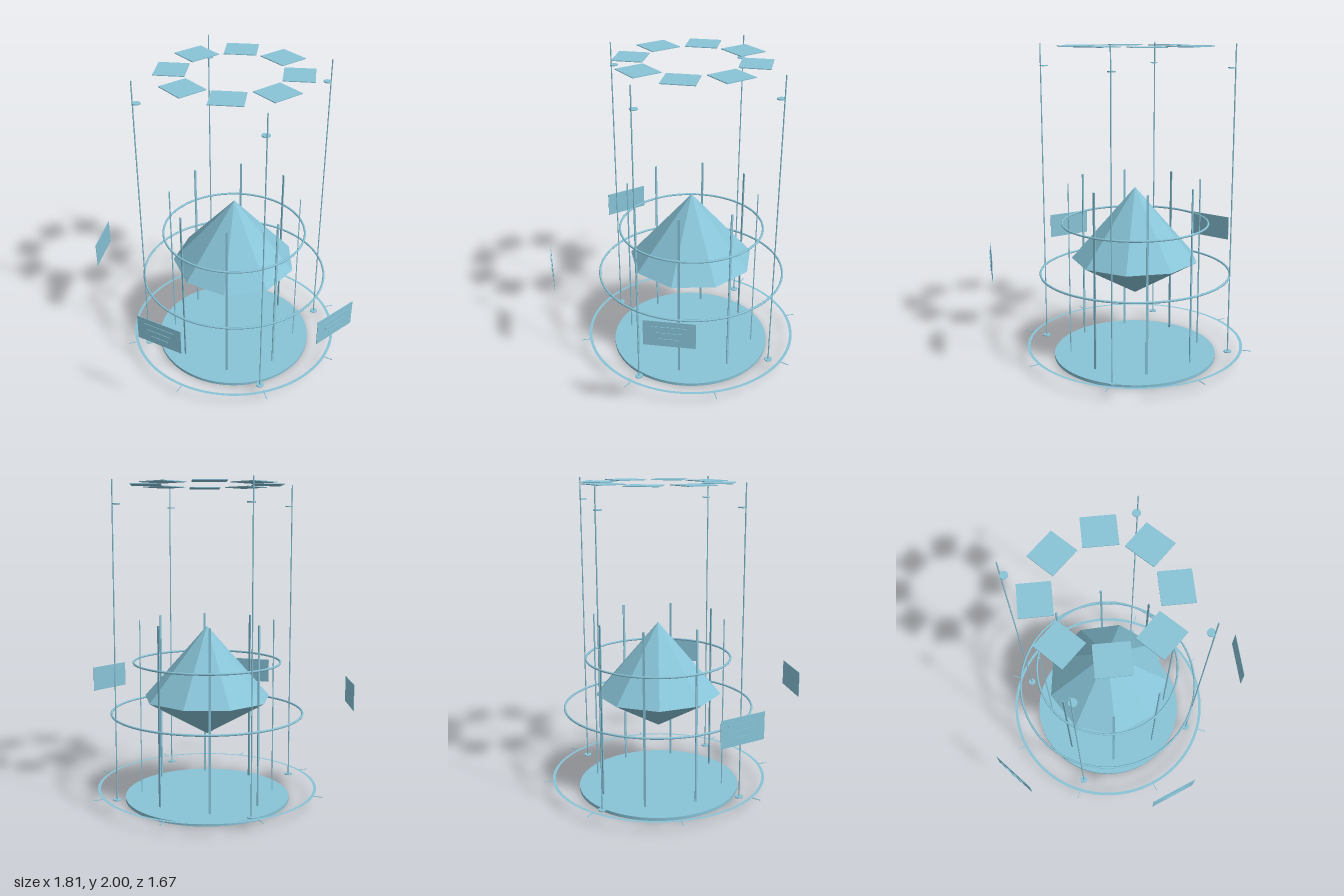
import * as THREE from 'three';

export function createModel() {
  const model = new THREE.Group();
  const blue = new THREE.MeshStandardMaterial({ color: 0x88c4d8, side: THREE.DoubleSide });
  blue.name = 'paleBlue';
  const hub = new THREE.Group(); // everything is arranged around this axis
  hub.name = 'display';
  hub.position.z = -0.08;
  model.add(hub);

  const add = (name, geometry, x = 0, y = 0, z = 0, parent = hub) => {
    const mesh = new THREE.Mesh(geometry, blue);
    mesh.name = name;
    mesh.position.set(x, y, z);
    parent.add(mesh);
    return mesh;
  };
  // Places a part at a radius and an angle from the front, facing outward
  const addRadial = (name, geometry, angle, radius, y) => {
    const mesh = add(name, geometry, Math.sin(angle) * radius, y, Math.cos(angle) * radius);
    mesh.rotation.y = angle;
    return mesh;
  };

  // Base disc
  add('baseDisc', new THREE.CylinderGeometry(0.525, 0.525, 0.02, 64), 0, 0.01, 0);

  // Nine-sided crystal: faceted crown, softer underside, a corner at the back
  const crown = new THREE.ConeGeometry(0.405, 0.46, 9, 1, true).toNonIndexed();
  crown.computeVertexNormals();
  add('crystalCrown', crown, 0, 0.885, 0).rotation.y = Math.PI;
  const under = new THREE.CylinderGeometry(0.405, 0, 0.235, 9, 1, true);
  add('crystalUnderside', under, 0, 0.5375, 0).rotation.y = Math.PI;

  // Floor ring is flat, the two floating rings are round in section
  const floorRing = new THREE.RingGeometry(0.681, 0.7, 96).rotateX(-Math.PI / 2);
  add('floorRing', floorRing, 0, 0.083, 0);
  for (const [name, radius, y] of [['middleRing', 0.605, 0.565], ['upperRing', 0.463, 0.887]]) {
    add(name, new THREE.TorusGeometry(radius, 0.007, 8, 96).rotateX(Math.PI / 2), 0, y, 0);
  }

  // Eight columns, roof panels and floor ticks
  const column = new THREE.BoxGeometry(0.014, 1.11, 0.006);
  const roofPanel = new THREE.BoxGeometry(0.2, 0.005, 0.187);
  const tick = new THREE.BoxGeometry(0.005, 0.003, 0.056);
  for (let i = 0; i < 8; i++) {
    const angle = (i * Math.PI) / 4;
    addRadial('floorTick', tick, angle, 0.728, 0.083);
    addRadial('column', column, angle + Math.PI / 8, 0.422, 0.595);
    addRadial('roofPanel', roofPanel, angle + Math.PI / 8, 0.374, 1.985);
  }

  // Four tall masts with a foot and a small lamp disc
  const mast = new THREE.CylinderGeometry(0.004, 0.004, 1.935, 8);
  const foot = new THREE.CylinderGeometry(0.025, 0.025, 0.006, 16);
  for (let i = 0; i < 4; i++) {
    const angle = Math.PI / 4 + (i * Math.PI) / 2;
    addRadial('mast', mast, angle, 0.608, 1.0325);
    addRadial('mastFoot', foot, angle, 0.608, 0.068);
    addRadial('mastLamp', foot, angle, 0.586, 1.861);
  }

  // Three information boards with raised bars on the outer face
  for (const degrees of [-70, 0, 70]) {
    const board = addRadial('infoBoard', new THREE.BoxGeometry(0.3, 0.165, 0.003),
      THREE.MathUtils.degToRad(degrees), 0.908, 0.682);
    [0.21, 0.165, 0.115].forEach((width, i) => {
      add('boardBar', new THREE.BoxGeometry(width, 0.011, 0.003), 0, 0.044 - i * 0.04, 0.006, board);
    });
  }
  return model;
}
